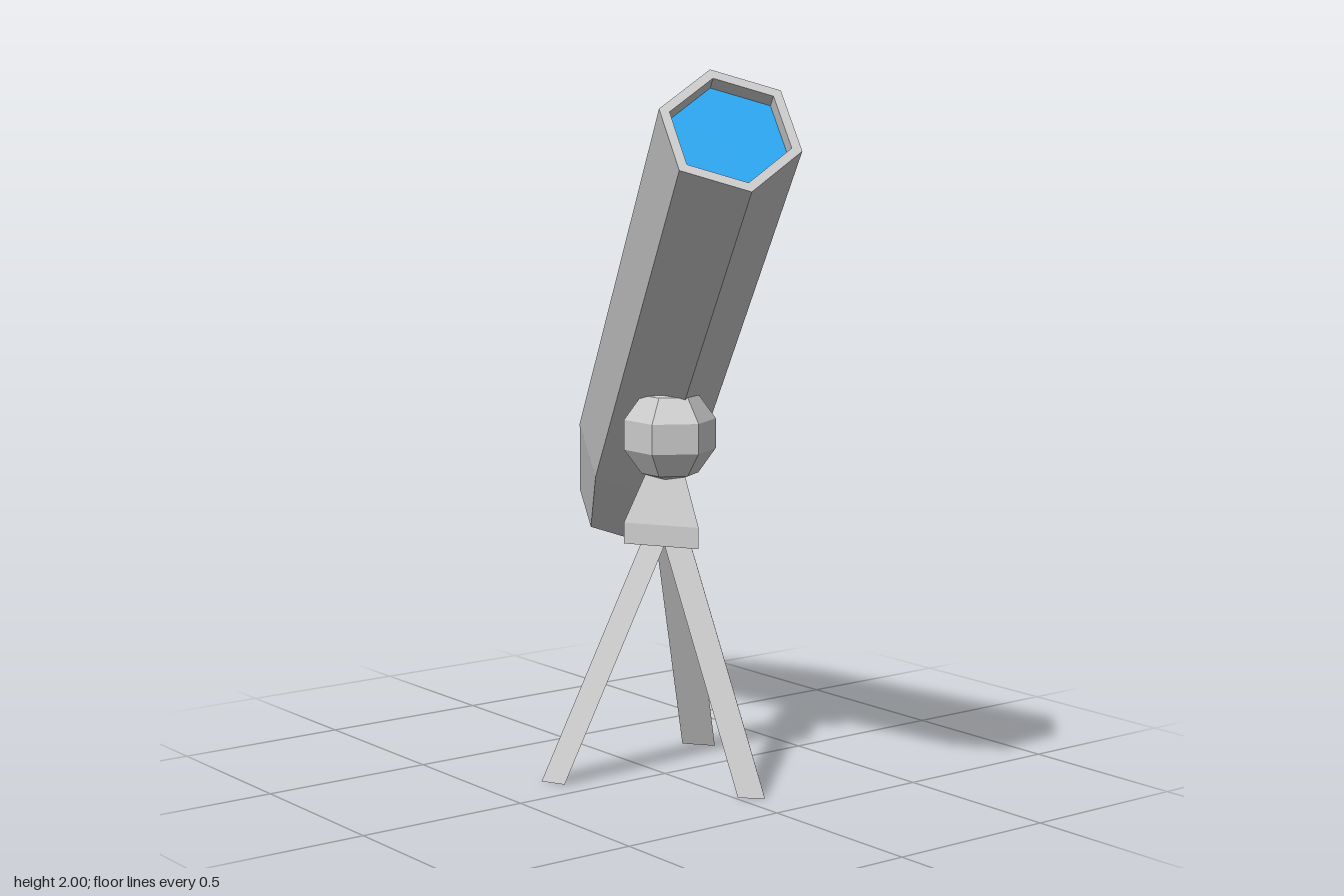
import * as THREE from 'three';

const grey = new THREE.MeshStandardMaterial({ color: 0xcccccc, flatShading: true });
const blue = new THREE.MeshStandardMaterial({ color: 0x18a4f0, flatShading: true });

function add(parent, name, geometry, material = grey) {
  const mesh = new THREE.Mesh(geometry, material);
  mesh.name = name;
  parent.add(mesh);
  return mesh;
}

// Hexagonal tube lying along local y, open front end at y = 0
function createTube() {
  const tube = new THREE.Group();
  tube.name = 'telescopeTube';
  const profile = [
    [0, -2.119], [0.096, -2.119], [0.132, -2.063], [0.184, -1.65],
    [0.184, 0], [0.157, 0], [0.157, -0.045], [0, -0.045],
  ].map(([r, y]) => new THREE.Vector2(r, y));
  add(tube, 'tubeBody', new THREE.LatheGeometry(profile, 6));
  add(tube, 'frontLens', new THREE.CylinderGeometry(0.157, 0.157, 0.01, 6), blue).position.y = -0.047;
  add(tube, 'eyepiece', new THREE.CylinderGeometry(0.053, 0.053, 0.03, 6), blue).position.y = -2.114;

  // Aim the tube up, forward and to its right, with one hexagon corner upward
  const axis = new THREE.Vector3(-0.368, 0.585, 0.722).normalize();
  const side = new THREE.Vector3().crossVectors(axis, new THREE.Vector3(0.02, 0.147, -0.107)).normalize();
  const corner = new THREE.Vector3().crossVectors(side, axis);
  tube.setRotationFromMatrix(new THREE.Matrix4().makeBasis(side, axis, corner));
  tube.position.set(-0.36, 1.853, 0.737);
  return tube;
}

// Slanted triangular leg, ridge outward (+z), cut level at the floor
function legGeometry() {
  const height = 0.71, lean = 0.307;
  const g = new THREE.CylinderGeometry(1, 1, height, 3);
  g.translate(0, height / 2, 0);
  const p = g.attributes.position;
  for (let i = 0; i < p.count; i++) {
    const x = p.getX(i) * (0.05 / 0.866);
    const z = 0.338 + p.getZ(i) * 0.037 - lean * (p.getY(i) / height);
    p.setXYZ(i, x, p.getY(i), z);
  }
  g.computeVertexNormals();
  return g;
}

export function createModel() {
  const model = new THREE.Group();
  model.name = 'telescope';
  model.add(createTube());

  const tripod = new THREE.Group();
  tripod.name = 'tripod';
  tripod.position.x = 0.018;
  model.add(tripod);

  // Ball joint under the tube
  const ball = add(tripod, 'ballJoint', new THREE.SphereGeometry(0.137, 6, 5));
  ball.position.y = 0.98;
  ball.rotation.y = Math.PI / 6;

  // Three-sided head: straight block with a tapered neck
  add(tripod, 'headBlock', new THREE.CylinderGeometry(0.131, 0.131, 0.06, 3)).position.y = 0.7;
  add(tripod, 'headNeck', new THREE.CylinderGeometry(0.064, 0.131, 0.15, 3)).position.y = 0.805;

  // Three splayed legs
  const leg = legGeometry();
  for (let i = 0; i < 3; i++) {
    add(tripod, 'leg', leg).rotation.y = THREE.MathUtils.degToRad(7 + i * 120);
  }
  return model;
}
